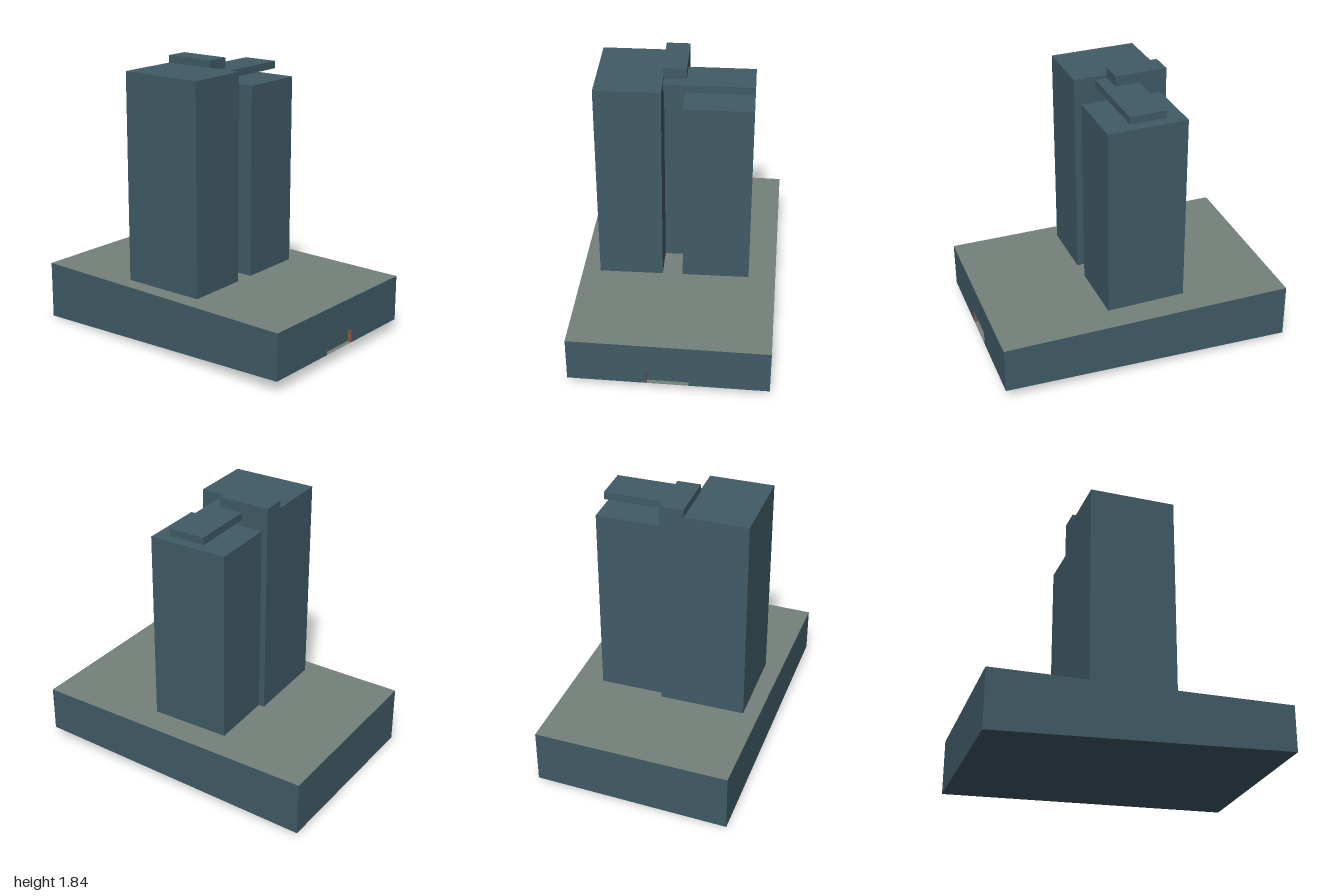
import * as THREE from 'three';

const mat = (name, color, side = THREE.FrontSide) => {
  const m = new THREE.MeshStandardMaterial({ color, side });
  m.name = name;
  return m;
};

// Flat four-sided faces, corners counter-clockwise seen from outside
function quads(name, material, faces) {
  const pos = [];
  for (const [a, b, c, d] of faces) pos.push(...a, ...b, ...c, ...a, ...c, ...d);
  const g = new THREE.BufferGeometry();
  g.setAttribute('position', new THREE.Float32BufferAttribute(pos, 3));
  g.computeVertexNormals();
  const mesh = new THREE.Mesh(g, material);
  mesh.name = name;
  return mesh;
}

function block(name, material, [x0, x1], [y0, y1], [z0, z1]) {
  const mesh = new THREE.Mesh(new THREE.BoxGeometry(x1 - x0, y1 - y0, z1 - z0), material);
  mesh.position.set((x0 + x1) / 2, (y0 + y1) / 2, (z0 + z1) / 2);
  mesh.name = name;
  return mesh;
}

export function createModel() {
  const wall = mat('slate blue wall', 0x405b66);
  const deck = mat('grey green deck', 0x75817a);
  const jamb = mat('brown doorway side', 0x8a5644);
  const model = new THREE.Group();
  model.name = 'twinTowerBuilding';

  // Podium: slightly turned plan, flat top, underside sloping down to the back
  const top = 0.39, low = 0.08, head = 0.175, depth = 0.03;
  const zFront = (x) => 0.965 + (x + 0.675) * (0.035 / 1.305);
  const front = (x, y, inset = 0) => [x, y, zFront(x) - inset];
  const xl = -0.675, xr = 0.63, dl = -0.16, dr = 0.11;
  const backL = (y) => [-0.63, y, -1], backR = (y) => [0.67, y, -0.97];
  const bl = 0, br = 0.022;

  const podium = new THREE.Group();
  podium.name = 'podium';
  podium.add(quads('podiumWalls', wall, [
    // front wall around the doorway
    [front(xl, low), front(dl, low), front(dl, top), front(xl, top)],
    [front(dr, low), front(xr, low), front(xr, top), front(dr, top)],
    [front(dl, head), front(dr, head), front(dr, top), front(dl, top)],
    // right, back, left and underside
    [front(xr, low), backR(br), backR(top), front(xr, top)],
    [backR(br), backL(bl), backL(top), backR(top)],
    [backL(bl), front(xl, low), front(xl, top), backL(top)],
    [backL(bl), backR(br), front(xr, low), front(xl, low)],
  ]));
  podium.add(quads('podiumDeck', deck, [
    [front(xl, top), front(xr, top), backR(top), backL(top)],
  ]));

  // Shallow doorway recess
  podium.add(quads('doorway', wall, [
    [front(dl, low, depth), front(dr, low, depth), front(dr, head, depth), front(dl, head, depth)],
    [front(dl, head, depth), front(dr, head, depth), front(dr, head), front(dl, head)],
  ]));
  podium.add(quads('doorwaySides', jamb, [
    [front(dl, low), front(dl, low, depth), front(dl, head, depth), front(dl, head)],
    [front(dr, low, depth), front(dr, low), front(dr, head), front(dr, head, depth)],
  ]));
  podium.add(quads('doorwayFloor', deck, [
    [front(dl, low), front(dr, low), front(dr, low, depth), front(dl, low, depth)],
  ]));
  model.add(podium);

  // Towers, the core joining them, and the roof slab above the lower tower
  model.add(
    block('rightTower', wall, [-0.54, -0.115], [top, 1.79], [-0.34, 0.235]),
    block('leftTower', wall, [0.02, 0.465], [top, 1.68], [-0.3, 0.235]),
    block('core', wall, [-0.125, 0.03], [top, 1.84], [-0.34, 0.01]),
    block('roofSlab', wall, [-0.115, 0.465], [1.72, 1.77], [-0.153, 0.092]),
  );
  return model;
}
